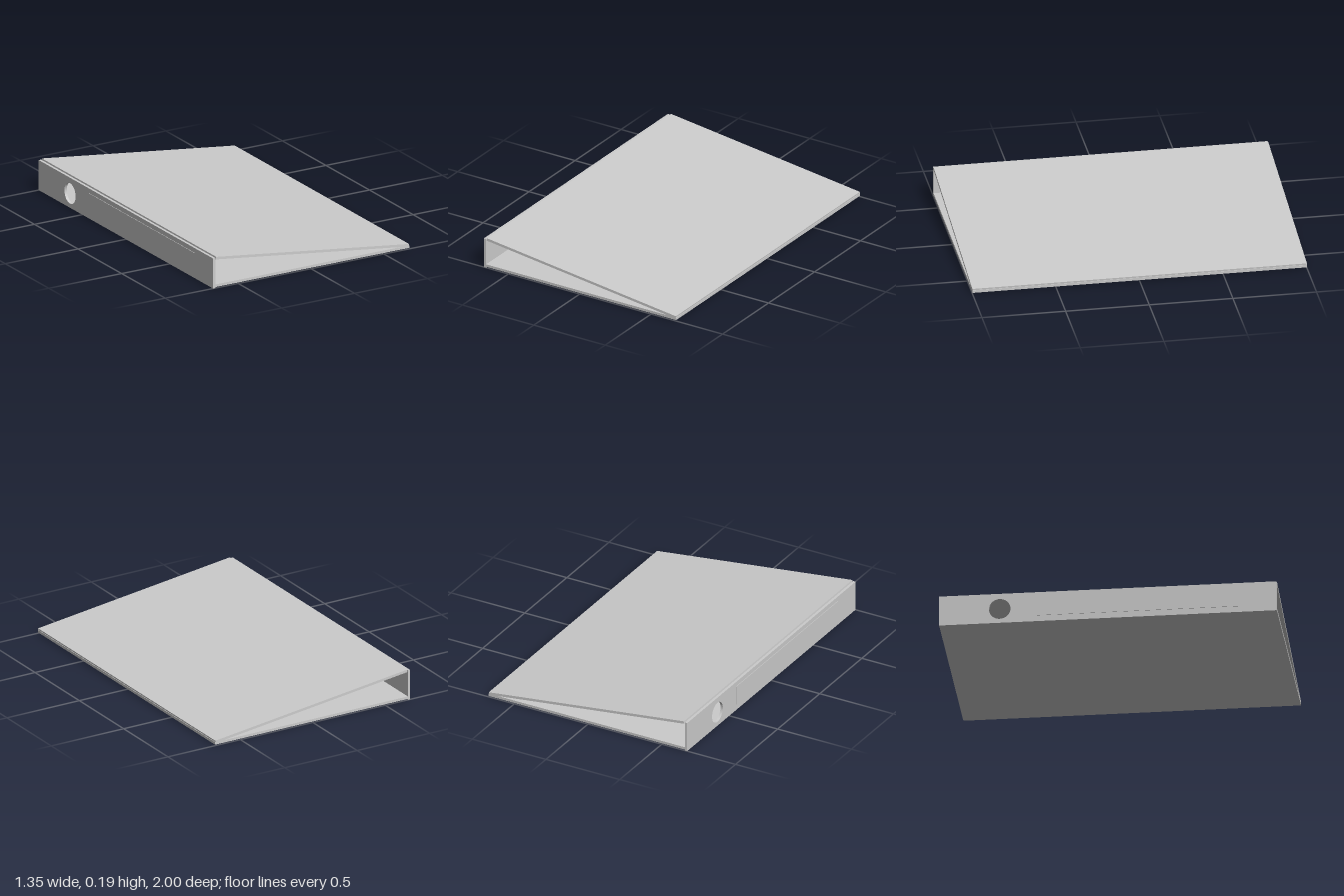
import * as THREE from 'three';

const material = new THREE.MeshStandardMaterial({ color: 0xcccccc, flatShading: true });

function add(group, name, geometry) {
  const mesh = new THREE.Mesh(geometry, material);
  mesh.name = name;
  group.add(mesh);
  return mesh;
}

export function createModel() {
  const group = new THREE.Group();
  group.name = 'ringBinder';
  const thick = 0.016, length = 2;

  // Bottom cover lying flat
  add(group, 'bottomCover', new THREE.BoxGeometry(1.331, thick, length)).position.set(0.0095, 0.014, 0);

  // Top cover sloping from the spine down to the open edge
  const start = new THREE.Vector2(-0.65, 0.194), end = new THREE.Vector2(0.673, 0.031);
  const slope = end.clone().sub(start);
  const angle = slope.angle();
  const top = add(group, 'topCover', new THREE.BoxGeometry(slope.length(), thick, length));
  const middle = start.clone().add(end).multiplyScalar(0.5);
  top.position.set(middle.x + Math.sin(angle) * thick / 2, middle.y - Math.cos(angle) * thick / 2, 0);
  top.rotation.z = angle;

  // Spine drawn as (z, y), with a round finger hole, then turned upright along z
  const height = 0.188;
  const outline = new THREE.Shape([
    new THREE.Vector2(-1, 0), new THREE.Vector2(1, 0),
    new THREE.Vector2(1, height), new THREE.Vector2(-1, height),
  ]);
  const hole = new THREE.Path();
  hole.absarc(-0.64, 0.09, 0.064, 0, Math.PI * 2, true);
  outline.holes.push(hole);
  const spineGeometry = new THREE.ExtrudeGeometry(outline, { depth: thick, bevelEnabled: false, curveSegments: 24 });
  spineGeometry.rotateY(-Math.PI / 2);
  add(group, 'spine', spineGeometry).position.x = -0.656;

  // Blank label plate on the outside of the spine
  add(group, 'spineLabel', new THREE.BoxGeometry(0.004, 0.122, 1.21)).position.set(-0.673, 0.098, 0.185);

  return group;
}
